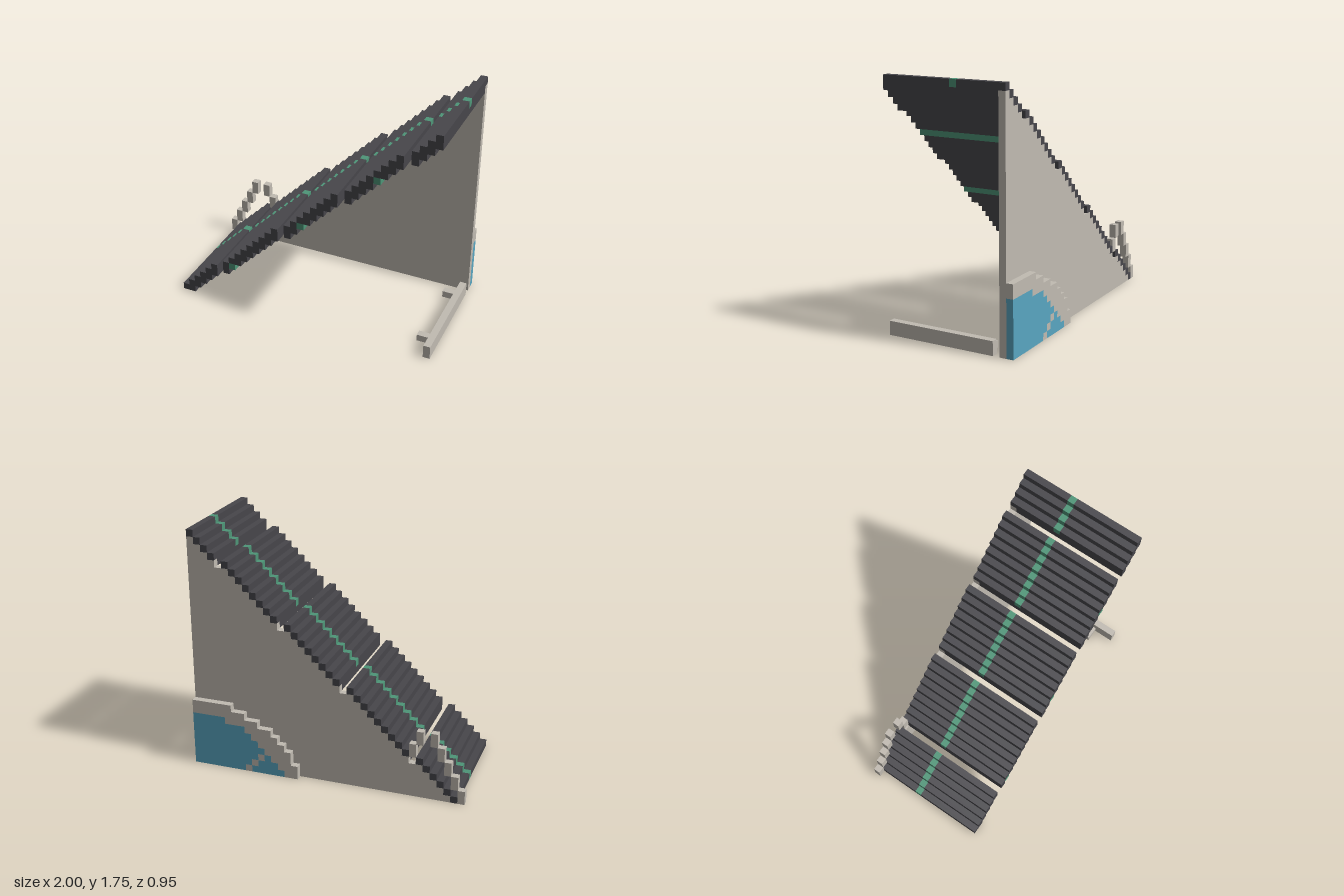
import * as THREE from 'three';

const U = 0.05; // one grid unit

const material = (name, color) => {
  const m = new THREE.MeshStandardMaterial({ color });
  m.name = name;
  return m;
};

export function createModel() {
  const model = new THREE.Group();
  model.name = 'steppedRamp';
  const stone = material('pale stone', 0xc1bbb2);
  const slate = material('dark slate', 0x47464b);
  const green = material('green trim', 0x4e9678);
  const blue = material('blue glass', 0x59a6c1);

  const group = (name) => {
    const g = new THREE.Group();
    g.name = name;
    model.add(g);
    return g;
  };
  // Box given by its minimum and maximum corners
  const box = (parent, name, mat, x0, x1, y0, y1, z0, z1) => {
    const mesh = new THREE.Mesh(new THREE.BoxGeometry(x1 - x0, y1 - y0, z1 - z0), mat);
    mesh.position.set((x0 + x1) / 2, (y0 + y1) / 2, (z0 + z1) / 2);
    mesh.name = name;
    parent.add(mesh);
  };

  // Stepped planks: one new row per column, with four skipped columns
  const planks = group('planks');
  const gaps = [7, 17, 26, 35];
  const greenRows = [6, 16, 26];
  const front = 0.475, back = -0.425, inner = -0.375;
  const wall = new THREE.Shape();
  wall.moveTo(-0.9, 0);
  let row = 0;
  for (let c = 1; c < 40; c++) {
    const x = -1 + c * U;
    if (!gaps.includes(c)) {
      const y = row * U;
      box(planks, 'plankBack', slate, x, x + U, y, y + U, back, -0.075);
      box(planks, 'centreStripe', green, x, x + U, y, y + U, -0.075, -0.025);
      box(planks, 'plankFront', slate, x, x + U, y, y + U, -0.025, front);
      if (row > 0) {
        const trim = greenRows.includes(row - 1);
        box(planks, trim ? 'crossTrim' : 'plankUnderside', trim ? green : slate,
          x, x + U, y - U, y, inner, front);
      }
      row++;
    }
    // The wall top follows the underside of the upper planks
    if (c > 1) {
      const top = (row - 1) * U;
      wall.lineTo(x, top);
      wall.lineTo(x + U, top);
    }
  }
  wall.lineTo(1, 0);

  // Side wall
  const wallMesh = new THREE.Mesh(
    new THREE.ExtrudeGeometry(wall, { depth: U, bevelEnabled: false }), stone);
  wallMesh.position.z = back;
  wallMesh.name = 'sideWall';
  model.add(wallMesh);

  // Open arch over the foot of the ramp: [column, bottom row]
  const arch = group('footArch');
  for (const [c, r] of [[0, 0], [1, 2], [2, 4], [3, 6], [4, 8], [6, 8], [7, 6]]) {
    const x = -1 + c * U;
    box(arch, 'archBlock', stone, x, x + U, r * U, (r + 2) * U, back, inner);
  }

  // Quarter-round window on the back: frame and glass heights per column
  const win = group('backWindow');
  const frameTop = [2, 4, 5, 6, 7, 7, 8, 8, 9, 9, 10, 10, 10, 10, 10, 10];
  const glassTop = [0, 0, 1, 2, 3, 4, 5, 6, 7, 7, 7, 8, 8, 8, 8, 8];
  const bar = { 5: 2, 6: 1, 7: 0 }; // diagonal glazing bar
  frameTop.forEach((top, i) => {
    const x = 0.2 + i * U;
    const piece = (name, mat, r0, r1) => {
      if (r1 > r0) box(win, name, mat, x, x + U, r0 * U, r1 * U, -0.475, back);
    };
    const g = glassTop[i];
    piece('windowFrame', stone, g, top);
    if (i in bar) {
      piece('glass', blue, 0, bar[i]);
      piece('glazingBar', stone, bar[i], bar[i] + 1);
      piece('glass', blue, bar[i] + 1, g);
    } else piece('glass', blue, 0, g);
  });

  // Low ground beam with two short stubs
  const beam = group('groundBeam');
  box(beam, 'beam', stone, 0.95, 1, 0, 0.1, -0.325, front);
  for (const z of [-0.275, 0.275]) box(beam, 'beamStub', stone, 0.85, 0.95, 0, U, z, z + U);

  return model;
}
